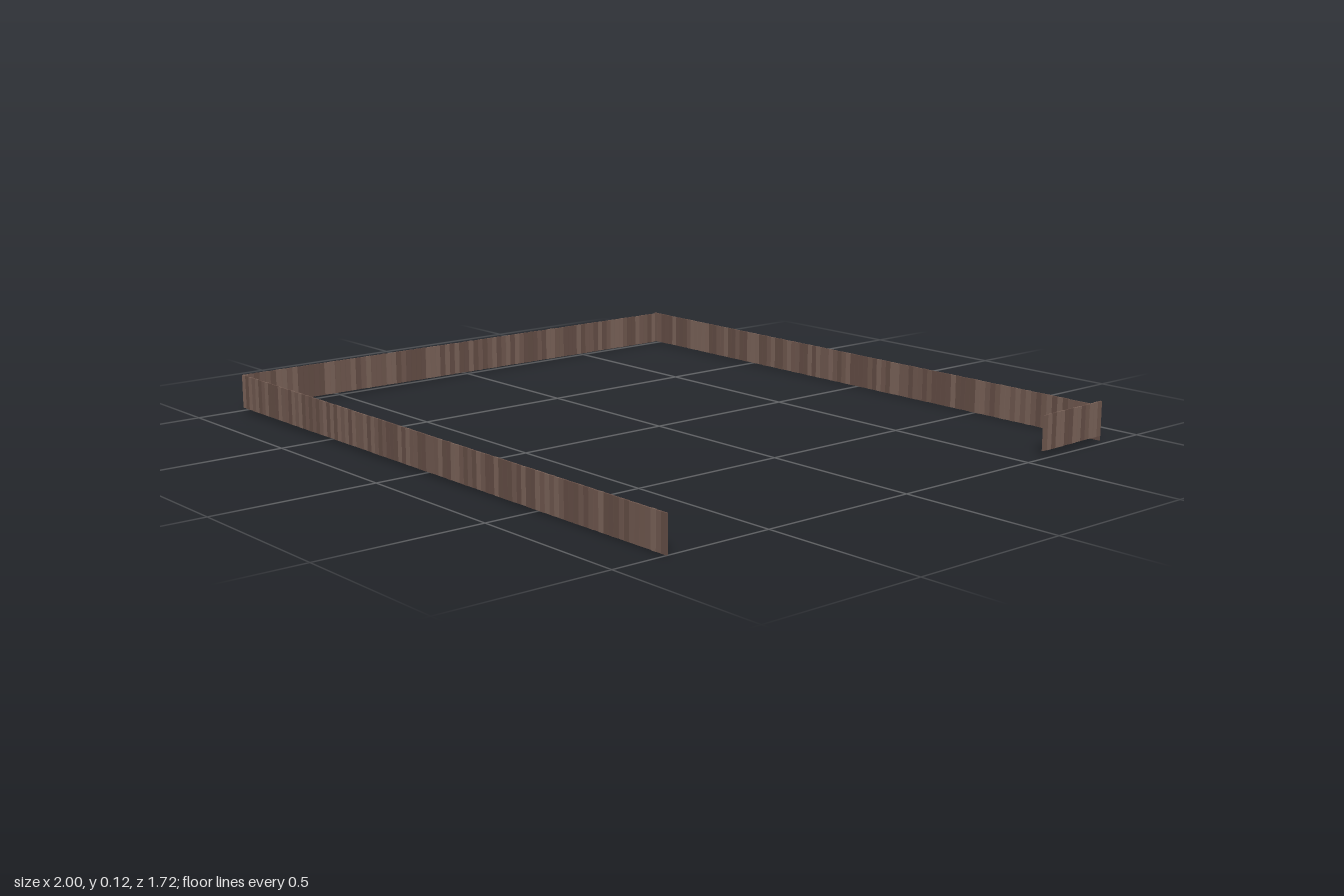
import * as THREE from 'three';
import { mergeGeometries } from 'three/addons/utils/BufferGeometryUtils.js';

const HEIGHT = 0.104, PITCH = 0.0195, THICK = 0.005;

// small seeded generator for the weathered look
function makeRandom(seed) {
  return () => {
    seed = (seed * 16807) % 2147483647;
    return seed / 2147483647;
  };
}

export function createModel() {
  const group = new THREE.Group();
  const rand = makeRandom(4711);
  const shades = [0x624c44, 0x6d564d, 0x786157].map(
    (color) => new THREE.MeshStandardMaterial({ color, flatShading: true }));

  // a straight run of upright planks; start and end give the foot of the fence
  function addRun(name, start, end, width) {
    const a = new THREE.Vector3(...start), b = new THREE.Vector3(...end);
    const length = Math.hypot(b.x - a.x, b.z - a.z);
    const yaw = Math.atan2(a.z - b.z, b.x - a.x);
    const count = Math.round(length / PITCH);
    const sets = shades.map(() => []);
    for (let i = 0; i < count; i++) {
      const foot = a.clone().lerp(b, (i + 0.5) / count);
      const plank = new THREE.BoxGeometry(width, HEIGHT + (rand() - 0.5) * 0.002, THICK);
      plank.rotateZ((rand() - 0.5) * 0.008);
      plank.rotateY(yaw + (rand() - 0.5) * 0.08);
      plank.translate(foot.x, foot.y + HEIGHT / 2, foot.z);
      sets[Math.floor(rand() * shades.length)].push(plank);
    }
    const run = new THREE.Group();
    run.name = name;
    sets.forEach((planks, i) => {
      if (!planks.length) return;
      const mesh = new THREE.Mesh(mergeGeometries(planks), shades[i]);
      mesh.name = `${name}Planks${i + 1}`;
      run.add(mesh);
    });
    group.add(run);
  }

  // the four runs, each following the gently sloping ground
  addRun('frontFence', [-0.98, 0.015, 0.855], [1, 0.001, 0.831], 0.0182);
  addRun('rightFence', [-0.977, 0.015, 0.857], [-0.997, 0.006, -0.835], 0.017);
  addRun('backFence', [-0.998, 0.009, -0.834], [0.973, 0.001, -0.859], 0.0182);
  addRun('leftFenceStub', [0.973, 0.016, -0.859], [0.976, 0.014, -0.59], 0.017);
  return group;
}
